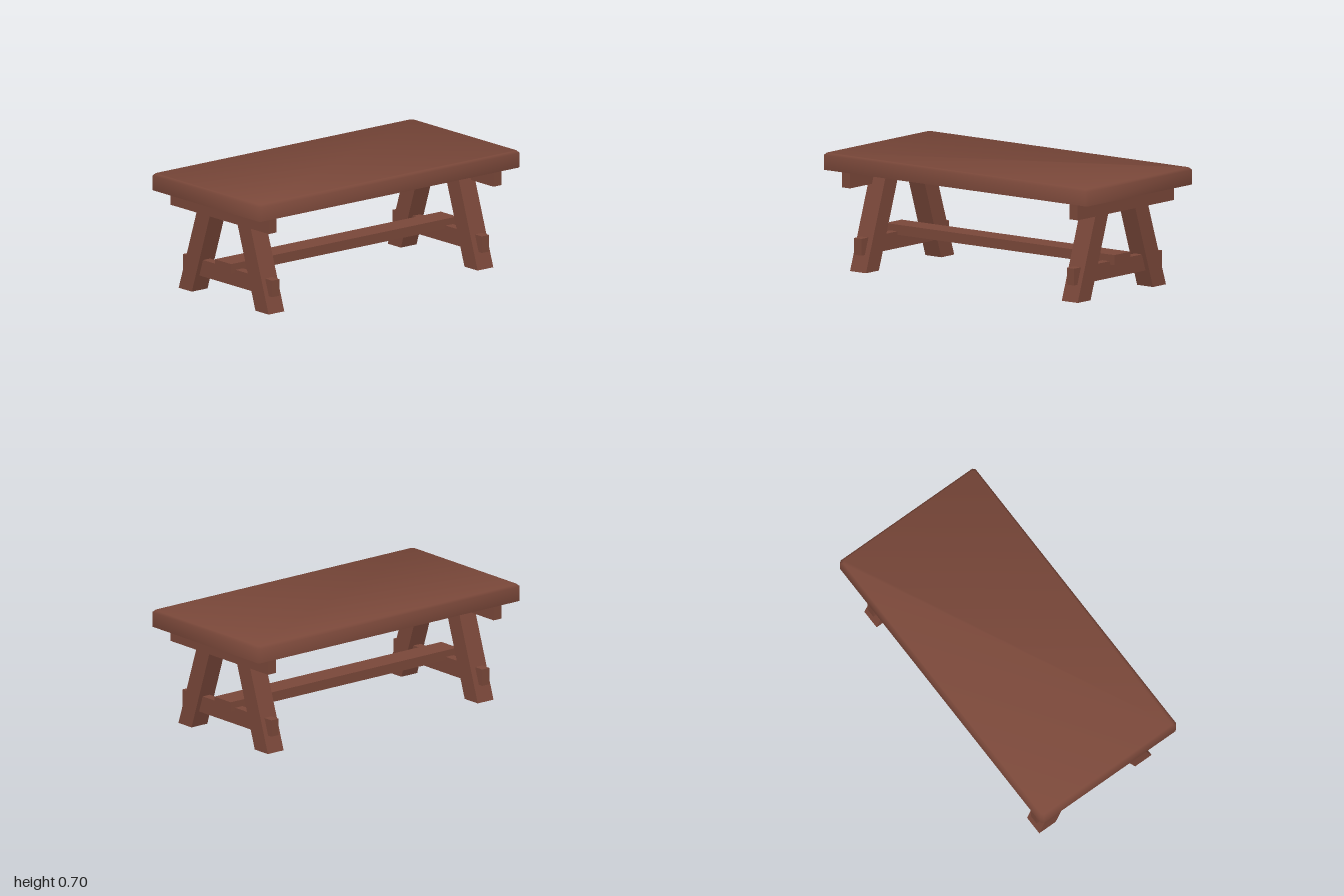
import * as THREE from 'three';

// Slab with cut corners and a softly shaded bevel around its upper edge
function slabGeometry(halfX, halfZ, y0, y1, cut) {
  const pos = [], nor = [], idx = [];
  const signs = [[1, 1], [1, -1], [-1, -1], [-1, 1]]; // anticlockwise from above
  const addRing = (y, inset, out, up) => {
    signs.forEach(([sx, sz], c) => {
      for (let k = 0; k < 2; k++) {
        const onX = (c + k) % 2 === 1; // vertex lying on the x = const side
        const x = sx * (halfX - inset - (onX ? 0 : cut));
        const z = sz * (halfZ - inset - (onX ? cut : 0));
        pos.push(x, y, z);
        const n = new THREE.Vector3(
          sx * (onX ? 0.92 : 0.38) * out, up, sz * (onX ? 0.38 : 0.92) * out).normalize();
        nor.push(n.x, n.y, n.z);
      }
    });
  };
  addRing(y0, 0, 1, 0);
  addRing(y1 - cut, 0, 0.92, 0.38);
  addRing(y1, cut, 0.42, 0.9);
  addRing(y0, 0, 0, -1); // separate ring keeps the underside flat
  for (let r = 0; r < 2; r++) {
    for (let i = 0; i < 8; i++) {
      const a = r * 8 + i, b = r * 8 + (i + 1) % 8;
      idx.push(a, b, b + 8, a, b + 8, a + 8);
    }
  }
  for (let i = 1; i < 7; i++) {
    idx.push(16, 16 + i, 17 + i);
    idx.push(24, 25 + i, 24 + i);
  }
  const g = new THREE.BufferGeometry();
  g.setAttribute('position', new THREE.Float32BufferAttribute(pos, 3));
  g.setAttribute('normal', new THREE.Float32BufferAttribute(nor, 3));
  g.setIndex(idx);
  return g;
}

export function createModel() {
  const group = new THREE.Group();
  group.name = 'table';
  const wood = new THREE.MeshStandardMaterial({ color: 0x794739 });
  wood.name = 'reddish brown wood';

  const add = (name, geometry, x, y, z) => {
    const mesh = new THREE.Mesh(geometry, wood);
    mesh.name = name;
    mesh.position.set(x, y, z);
    group.add(mesh);
  };

  add('tableTop', slabGeometry(0.495, 1, 0.6, 0.7, 0.014), 0, 0, 0);

  // Long stretcher between the two trestles
  add('stretcher', new THREE.BoxGeometry(0.15, 0.06, 1.73), 0, 0.21, 0);

  for (const sz of [1, -1]) {
    const end = sz > 0 ? 'front' : 'back';
    add(end + 'Apron', new THREE.BoxGeometry(0.894, 0.1, 0.06), 0, 0.55, sz * 0.86);
    add(end + 'CrossBeam', new THREE.BoxGeometry(0.815, 0.1, 0.055), 0, 0.15, sz * 0.803);

    // Legs splay outward with level ends
    for (const sx of [1, -1]) {
      const bottom = sx * 0.35, top = sx * 0.15, half = 0.06;
      const outline = new THREE.Shape([
        new THREE.Vector2(bottom - half, 0), new THREE.Vector2(bottom + half, 0),
        new THREE.Vector2(top + half, 0.6), new THREE.Vector2(top - half, 0.6),
      ]);
      const leg = new THREE.ExtrudeGeometry(outline, { depth: 0.12, bevelEnabled: false });
      add(end + (sx > 0 ? 'LeftLeg' : 'RightLeg'), leg, 0, 0, sz * 0.8 - 0.06);
    }
  }
  return group;
}
